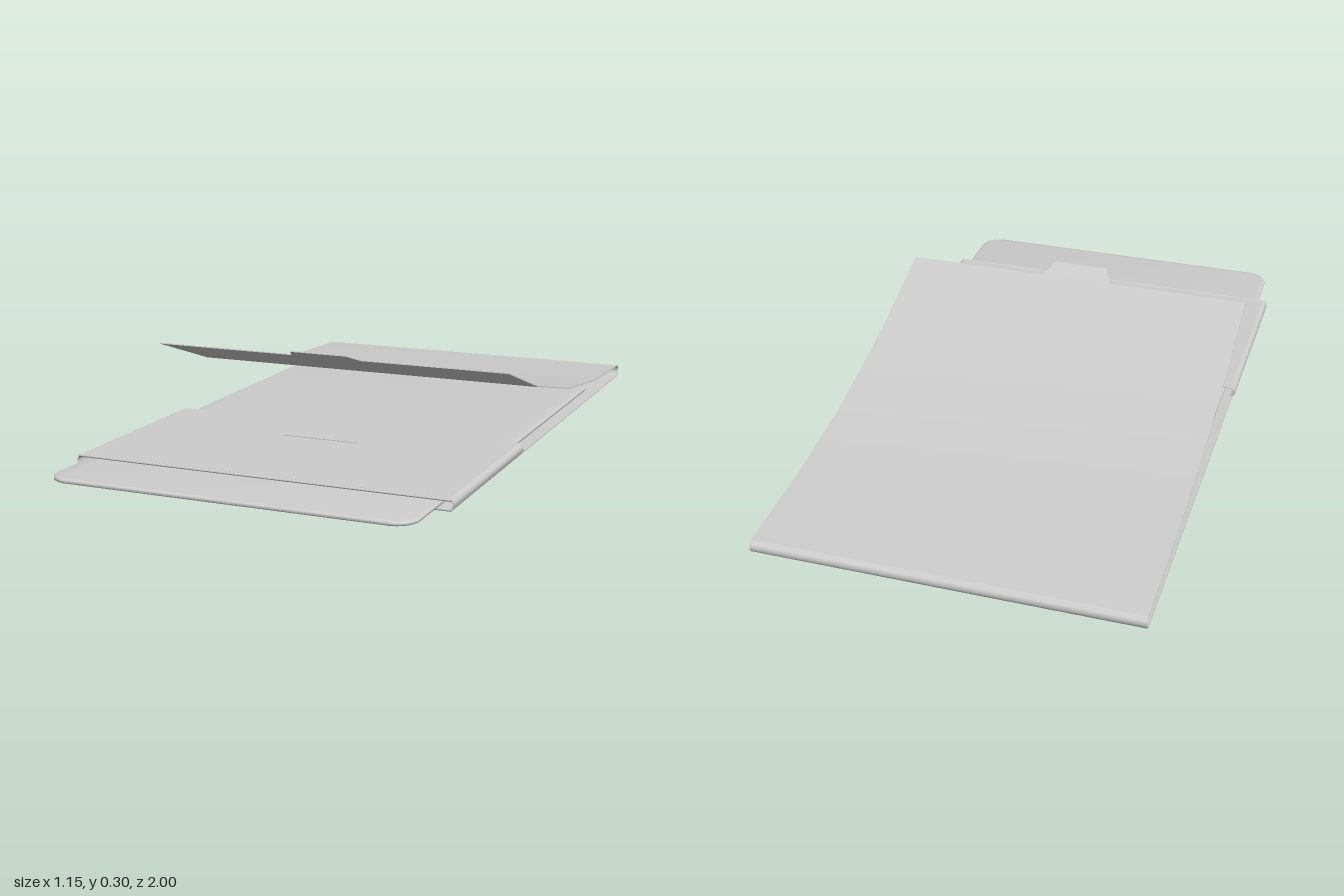
import * as THREE from 'three';
import { toCreasedNormals } from 'three/addons/utils/BufferGeometryUtils.js';

const material = new THREE.MeshStandardMaterial({ color: 0xcccccc, side: THREE.DoubleSide });

function part(name, geometry) {
  const mesh = new THREE.Mesh(toCreasedNormals(geometry, 0.75), material);
  mesh.name = name;
  return mesh;
}

// Thin sheet: a centreline thickened by t and extruded by depth (centred).
function sheet(points, t, depth) {
  const p = points.map(([x, y]) => new THREE.Vector2(x, y));
  const a = [], b = [];
  p.forEach((q, i) => {
    const d = p[Math.min(i + 1, p.length - 1)].clone().sub(q).normalize()
      .add(q.clone().sub(p[Math.max(i - 1, 0)]).normalize()).normalize();
    const n = new THREE.Vector2(-d.y, d.x).multiplyScalar(t / 2);
    a.push(q.clone().add(n));
    b.unshift(q.clone().sub(n));
  });
  const g = new THREE.ExtrudeGeometry(new THREE.Shape([...a, ...b]), { depth, bevelEnabled: false });
  return g.translate(0, 0, -depth / 2);
}

// Points on an arc, angles in radians.
function arc(cx, cy, r, from, to, n) {
  return Array.from({ length: n + 1 }, (_, i) => {
    const a = from + (to - from) * i / n;
    return [cx + r * Math.cos(a), cy + r * Math.sin(a)];
  });
}

// Profiles run in (z, y) and are extruded across x.
const acrossX = (points, t, width) => sheet(points.map(([z, y]) => [-z, y]), t, width).rotateY(Math.PI / 2);

function roundedRect(x, z0, z1, r) {
  const s = new THREE.Shape();
  s.moveTo(-x + r, z0).lineTo(x - r, z0).absarc(x - r, z0 + r, r, -Math.PI / 2, 0);
  s.lineTo(x, z1 - r).absarc(x - r, z1 - r, r, 0, Math.PI / 2);
  s.lineTo(-x + r, z1).absarc(-x + r, z1 - r, r, Math.PI / 2, Math.PI);
  s.lineTo(-x, z0 + r).absarc(-x + r, z0 + r, r, Math.PI, Math.PI * 1.5);
  return s;
}

export function createModel() {
  const model = new THREE.Group();
  model.name = 'foldingSleeve';

  // Base, back fold and lifted cover in one continuous sheet
  const profile = [
    [0.785, 0.002],
    ...arc(-0.98, 0.0205, 0.0185, -Math.PI / 2, -Math.PI * 1.5, 10),
    [-0.66, 0.052], [-0.34, 0.09], [0.02, 0.172], [0.32, 0.273],
  ];
  model.add(part('baseAndCover', acrossX(profile, 0.003, 1.13)));

  // Closing tab on the cover edge
  const tabShape = new THREE.Shape([[-0.115, -0.003], [0.115, -0.003], [0.088, 0.064], [-0.088, 0.064]]
    .map(([x, y]) => new THREE.Vector2(x, y)));
  const tab = new THREE.ExtrudeGeometry(tabShape, { depth: 0.003, bevelEnabled: false });
  tab.translate(0, 0, -0.0015).rotateX(Math.PI / 2 - 0.37).translate(0, 0.273, 0.32);
  model.add(part('coverTab', tab));

  // Pocket top panel with the slit that receives the tab
  const panelShape = new THREE.Shape([[-0.557, 0.18], [0.557, 0.18], [0.557, 0.78], [-0.557, 0.78]]
    .map(([x, y]) => new THREE.Vector2(x, y)));
  panelShape.holes.push(new THREE.Path([[-0.12, 0.361], [-0.12, 0.368], [0.12, 0.368], [0.12, 0.361]]
    .map(([x, y]) => new THREE.Vector2(x, y))));
  const panel = new THREE.ExtrudeGeometry(panelShape, { depth: 0.003, bevelEnabled: false });
  model.add(part('pocketPanel', panel.rotateX(Math.PI / 2).translate(0, 0.0345, 0)));

  // Rounded pocket sides
  for (const side of [-1, 1]) {
    const curve = arc(0.556, 0.0175, 0.0155, -Math.PI / 2, Math.PI / 2, 10).map(([x, y]) => [side * x, y]);
    model.add(part(side > 0 ? 'leftPocketSide' : 'rightPocketSide',
      sheet(curve, 0.003, 0.605).translate(0, 0, 0.4825)));
  }

  // Rolled hems at the pocket mouth, above and below the insert
  for (const [name, y] of [['upperHem', 0.0315], ['lowerHem', 0.0045]]) {
    const hem = new THREE.CylinderGeometry(0.0042, 0.0042, 1.132, 12).rotateZ(Math.PI / 2);
    model.add(part(name, hem.translate(0, y, 0.785)));
  }

  // Sliding insert with soft edges
  const insert = new THREE.ExtrudeGeometry(roundedRect(0.528, -0.69, 0.99, 0.055), {
    depth: 0.004, bevelThickness: 0.005, bevelSize: 0.01, bevelSegments: 4, curveSegments: 8,
  });
  model.add(part('insert', insert.rotateX(Math.PI / 2).translate(0, 0.0225, 0)));

  return model;
}
